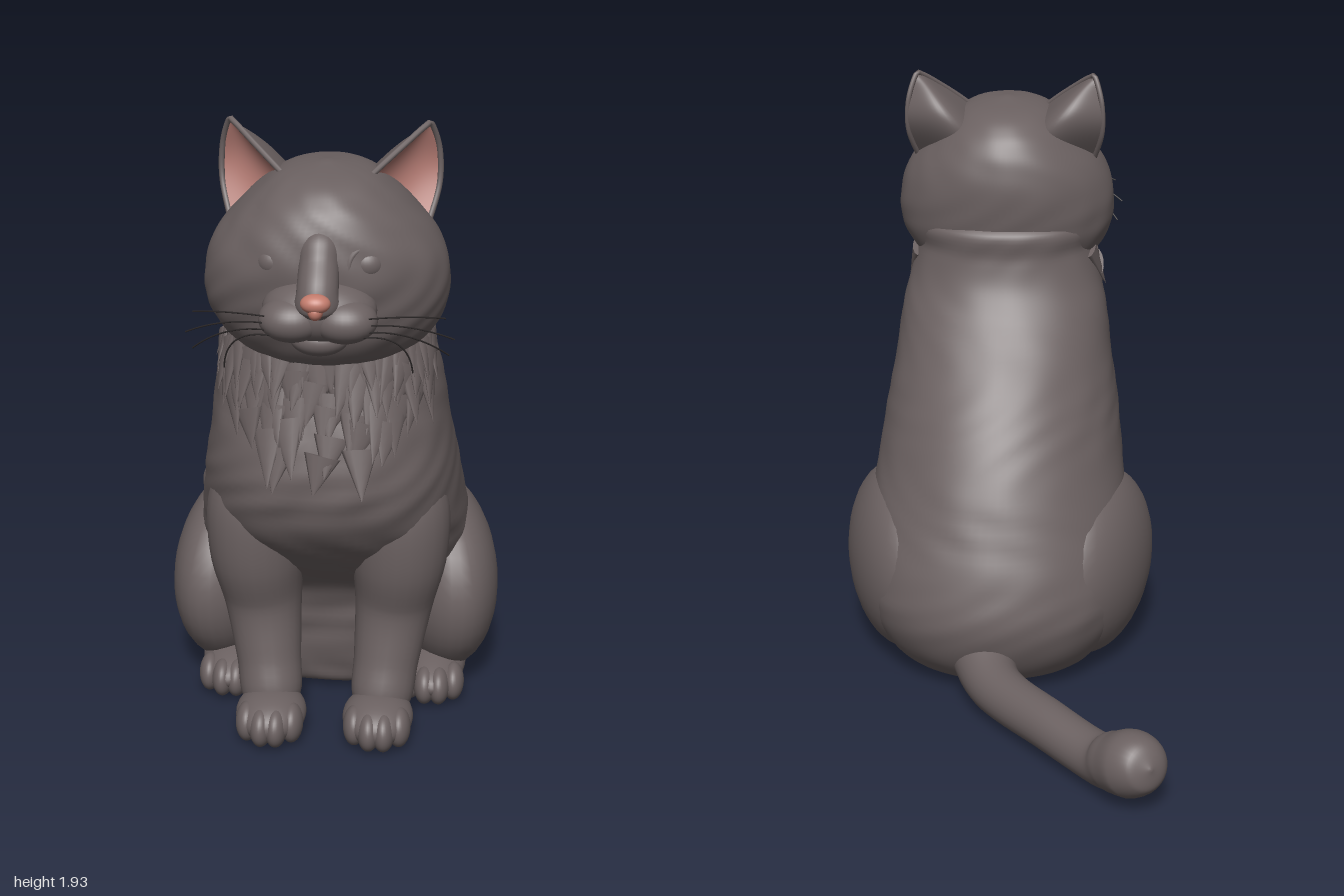
import * as THREE from 'three';
import { mergeVertices, mergeGeometries } from 'three/addons/utils/BufferGeometryUtils.js';

const V = (x, y, z) => new THREE.Vector3(x, y, z);
const material = (name, color, side = THREE.FrontSide) => {
  const m = new THREE.MeshStandardMaterial({ color, side });
  m.name = name;
  return m;
};

// Smooth surface from a rule fn(u, v) -> point, u along and v around
function grid(fn, nu, nv) {
  const pos = [], idx = [];
  for (let i = 0; i <= nu; i++)
    for (let j = 0; j <= nv; j++) pos.push(...fn(i / nu, j / nv).toArray());
  for (let i = 0; i < nu; i++)
    for (let j = 0; j < nv; j++) {
      const a = i * (nv + 1) + j, b = a + nv + 1;
      idx.push(a, a + 1, b + 1, a, b + 1, b);
    }
  const g = new THREE.BufferGeometry();
  g.setAttribute('position', new THREE.Float32BufferAttribute(pos, 3));
  g.setIndex(idx);
  const welded = mergeVertices(g, 1e-5);
  welded.computeVertexNormals();
  return welded;
}

const spline = pts => new THREE.CatmullRomCurve3(pts, false, 'catmullrom', 0.5);

// Stacked rings [y, half width, back z, front z] with slight fur waves;
// a power below 1 makes the front half fuller than an ellipse
function stack(rows, wave, power) {
  const back = spline(rows.map(r => V(r[1], r[0], r[2])));
  const front = spline(rows.map(r => V(0, r[0], r[3])));
  return (u, v) => {
    const p = back.getPoint(u), q = front.getPoint(u), a = v * Math.PI * 2;
    const n = Math.sin(a * 9 + 5 * Math.sin(p.y * 11)) * Math.sin(p.y * 23 + 2 * Math.sin(a * 3));
    const k = 1 + wave * n * (0.4 + 0.6 * Math.max(0, Math.cos(a)));
    const e = Math.cos(a) > 0 ? power : 1, s = Math.sin(a), c = Math.cos(a);
    return V(Math.max(0, p.x) * k * Math.sign(s) * Math.abs(s) ** e, Math.max(0, p.y),
      (p.z + q.z) / 2 + (q.z - p.z) / 2 * k * Math.sign(c) * Math.abs(c) ** e);
  };
}

// Round limb through [x, y, z, radius]
function limb(rows, ref, nu = 40, nv = 24) {
  const path = spline(rows.map(r => V(r[0], r[1], r[2])));
  const radius = spline(rows.map(r => V(r[3], 0, 0)));
  return grid((u, v) => {
    const t = path.getTangent(u), n = ref.clone().cross(t).normalize(), b = t.clone().cross(n);
    const r = Math.max(0, radius.getPoint(u).x), a = v * Math.PI * 2;
    return path.getPoint(u).addScaledVector(n, r * Math.cos(a)).addScaledVector(b, r * Math.sin(a));
  }, nu, nv);
}

const BODY = [
  [0.01, 0, 0.1, 0.1], [0.015, 0.28, -0.15, 0.36], [0.1, 0.38, -0.27, 0.42],
  [0.25, 0.435, -0.33, 0.45], [0.4, 0.44, -0.305, 0.49], [0.55, 0.43, -0.245, 0.63],
  [0.7, 0.41, -0.175, 0.76], [0.85, 0.39, -0.085, 0.815], [1.0, 0.365, 0.03, 0.80],
  [1.15, 0.345, 0.155, 0.75], [1.25, 0.32, 0.22, 0.73], [1.35, 0.29, 0.25, 0.7],
  [1.45, 0.26, 0.264, 0.62], [1.5, 0, 0.45, 0.45],
];
const HEAD = [
  [1.225, 0, 0.56, 0.56], [1.24, 0.17, 0.41, 0.69], [1.28, 0.265, 0.33, 0.765],
  [1.36, 0.335, 0.285, 0.82], [1.45, 0.363, 0.265, 0.85], [1.55, 0.355, 0.255, 0.87],
  [1.63, 0.32, 0.26, 0.865], [1.7, 0.262, 0.28, 0.845], [1.76, 0.2, 0.32, 0.805],
  [1.81, 0.125, 0.4, 0.73], [1.835, 0, 0.57, 0.57],
];

export function createModel() {
  const fur = material('grey fur', 0x6b6161, THREE.DoubleSide);
  const pink = material('inner ear pink', 0xb27a72, THREE.DoubleSide);
  const nosePink = material('nose pink', 0xc27b6c);
  const dark = material('whisker dark', 0x2c2828);

  const model = new THREE.Group();
  model.name = 'sittingCat';
  const cat = new THREE.Group();
  cat.name = 'cat';
  cat.position.x = 0.025;
  model.add(cat);

  const add = (parent, name, geo, mat = fur) => {
    const m = new THREE.Mesh(geo, mat);
    m.name = name;
    parent.add(m);
    return m;
  };
  const ball = (parent, name, c, r, mat = fur, yaw = 0) => {
    const m = add(parent, name, new THREE.SphereGeometry(1, 32, 22), mat);
    m.position.set(...c);
    m.scale.set(...r);
    m.rotation.y = yaw;
    return m;
  };

  // Torso and head
  const bodyAt = stack(BODY, 0.011, 0.85);
  add(cat, 'body', grid(bodyAt, 90, 96));
  add(cat, 'head', grid(stack(HEAD, 0.012, 0.95), 60, 96));

  // Chest ruff: tiers of flattened locks sweeping down and inwards
  let seed = 7;
  const rnd = () => (seed = (seed * 16807) % 2147483647) / 2147483647;
  const locks = [];
  for (let tier = 0; tier < 8; tier++) {
    const k = 10.3 - tier * 0.37, spread = 1.65 - tier * 0.185, count = 17 - tier * 2;
    for (let i = 0; i < count; i++) {
      const a = spread * ((2 * (i + 0.2 + 0.6 * rnd())) / count - 1);
      const u = (k + 0.3 * rnd()) / (BODY.length - 1), v = (a / (Math.PI * 2) + 1) % 1;
      const out = V(Math.sin(a), 0, Math.cos(a)), around = V(Math.cos(a), 0, -Math.sin(a));
      const dir = V(0, -1, 0).addScaledVector(out, 0.28 + 0.2 * rnd())
        .addScaledVector(around, 0.5 * (rnd() - 0.5) - 0.55 * Math.sin(a)).normalize();
      const side = dir.clone().cross(out).normalize(), face = side.clone().cross(dir);
      const len = 0.12 + 0.07 * rnd();
      const g = new THREE.ConeGeometry(0.055, len, 12, 4).scale(1, 1, 0.36);
      g.translate(0, len * 0.25, 0);
      g.applyMatrix4(new THREE.Matrix4().makeBasis(side, dir, face).setPosition(bodyAt(u, v)));
      locks.push(g);
    }
  }
  add(cat, 'chestRuff', mergeGeometries(locks));

  // Central face parts
  add(cat, 'noseBridge', limb([
    [0, 1.73, 0.77, 0], [0, 1.66, 0.81, 0.055], [0, 1.6, 0.85, 0.058],
    [0, 1.54, 0.9, 0.06], [0, 1.5, 0.9, 0.062], [0, 1.45, 0.88, 0],
  ], V(0, 0, 1)));
  ball(cat, 'muzzle', [0, 1.47, 0.835], [0.165, 0.095, 0.115]);
  ball(cat, 'chin', [0, 1.385, 0.845], [0.085, 0.05, 0.07]);
  ball(cat, 'nose', [0, 1.53, 0.965], [0.043, 0.028, 0.033], nosePink);
  ball(cat, 'noseTip', [0, 1.508, 0.966], [0.022, 0.026, 0.03], nosePink);

  // Ear edges and a shell hung between them
  const inner = spline([V(0.09, 1.76, 0.61), V(0.185, 1.845, 0.565), V(0.28, 1.92, 0.495)]);
  const outer = spline([V(0.29, 1.62, 0.52), V(0.328, 1.78, 0.445), V(0.298, 1.92, 0.475)]);
  const earShell = depth => grid((u, v) => inner.getPoint(u).lerp(outer.getPoint(u), v)
    .addScaledVector(V(-0.55, 0, -0.83), depth * (1 - u * u) * Math.sin(Math.PI * v)), 20, 20);
  const rim = spline([0, 0.35, 0.7, 1].map(t => inner.getPoint(t))
    .concat([1, 0.7, 0.35, 0].map(t => outer.getPoint(t))));

  for (const s of [1, -1]) {
    const half = new THREE.Group();
    half.name = s > 0 ? 'leftSide' : 'rightSide';
    half.scale.x = s;
    cat.add(half);

    add(half, 'earBack', earShell(0.17));
    add(half, 'earInside', earShell(0.045), pink);
    add(half, 'earRim', new THREE.TubeGeometry(rim, 48, 0.009, 8));

    // Eye with a thin lid ring, and whisker pad
    ball(half, 'eye', [0.13, 1.6, 0.8], [0.055, 0.05, 0.05]);
    const lid = add(half, 'eyelid', new THREE.TorusGeometry(0.053, 0.01, 10, 32));
    lid.position.set(0.132, 1.6, 0.829);
    lid.rotation.set(-0.1, 0.42, 0);
    ball(half, 'whiskerPad', [0.075, 1.455, 0.885], [0.095, 0.066, 0.082]);

    // Whiskers
    [[1.475, 0.36, 1.46, 0.86], [1.455, 0.385, 1.39, 0.84], [1.435, 0.37, 1.33, 0.81], [1.42, 0.27, 1.30, 0.88]]
      .forEach(([y, x, tipY, tipZ]) => {
        const c = new THREE.QuadraticBezierCurve3(V(0.13, y, 0.93), V(0.26, y + 0.015, 0.925), V(x, tipY, tipZ));
        add(half, 'whisker', new THREE.TubeGeometry(c, 14, 0.0025, 5), dark);
      });

    // Front leg and paw
    add(half, 'frontLeg', limb([
      [0.19, 0.95, 0.5, 0], [0.2, 0.88, 0.51, 0.1], [0.215, 0.75, 0.54, 0.155],
      [0.22, 0.58, 0.55, 0.15], [0.205, 0.4, 0.535, 0.122], [0.185, 0.22, 0.575, 0.102],
      [0.172, 0.09, 0.62, 0.088], [0.17, 0.03, 0.63, 0],
    ], V(0, 0, 1)));
    ball(half, 'frontPaw', [0.167, 0.076, 0.69], [0.11, 0.074, 0.14]);

    // Haunch turned inwards at the rear, and hind foot
    ball(half, 'haunch', [0.33, 0.33, 0.14], [0.18, 0.315, 0.355], fur, 0.26);
    ball(half, 'hindFoot', [0.325, 0.076, 0.28], [0.105, 0.074, 0.245]);

    // Toes of both feet
    [-1.5, -0.5, 0.5, 1.5].forEach(i => {
      const back = Math.abs(i) > 1 ? 0.035 : 0;
      ball(half, 'frontToe', [0.167 + i * 0.046, 0.068, 0.775 - back], [0.036, 0.062, 0.065]);
      ball(half, 'hindToe', [0.325 + i * 0.045, 0.066, 0.465 - back], [0.035, 0.06, 0.065]);
    });
  }

  // Tail lying on the ground with a rounded, raised tip
  add(model, 'tail', limb([
    [0.06, 0.15, -0.15, 0.12], [-0.01, 0.1, -0.36, 0.088], [-0.2, 0.1, -0.6, 0.08],
    [-0.355, 0.095, -0.77, 0.08], [-0.415, 0.12, -0.835, 0.095], [-0.47, 0.15, -0.895, 0.104],
    [-0.51, 0.17, -0.95, 0.072], [-0.525, 0.178, -0.973, 0],
  ], V(0, 1, 0), 64, 28));

  return model;
}
